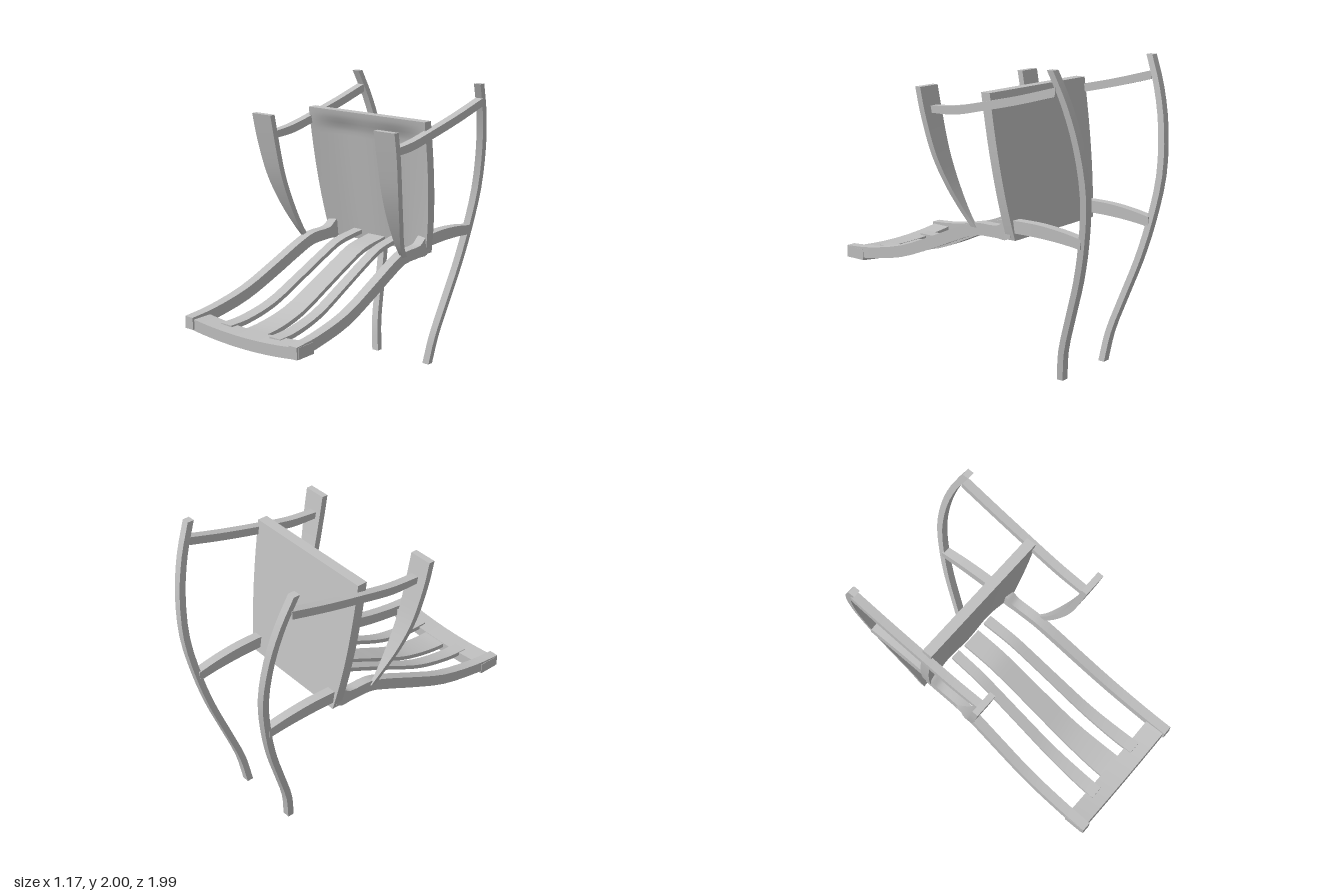
import * as THREE from 'three';
import { toCreasedNormals } from 'three/addons/utils/BufferGeometryUtils.js';

const grey = new THREE.MeshStandardMaterial({ color: 0xc0c0c0 });
grey.name = 'plain grey';

function part(name, geometry, crease = 0.6) {
  const mesh = new THREE.Mesh(toCreasedNormals(geometry, crease), grey);
  mesh.name = name;
  return mesh;
}

// Bent bar with a rectangular section. Rows are [x, y, z, width, thickness].
// Upright bars run upwards with thickness along z; the others run backwards (-z) with thickness along y.
function bar(rows, upright, steps = 24) {
  const path = new THREE.CatmullRomCurve3(rows.map(r => new THREE.Vector3(r[0], r[1], r[2])));
  const size = new THREE.CatmullRomCurve3(rows.map((r, i) => new THREE.Vector3(r[3], r[4], i)));
  const pos = [], index = [];
  for (let i = 0; i <= steps; i++) {
    const p = path.getPoint(i / steps), s = size.getPoint(i / steps);
    for (const [a, b] of [[-1, -1], [1, -1], [1, 1], [-1, 1]]) {
      const n = b * s.y / 2;
      pos.push(p.x + a * s.x / 2, p.y + (upright ? 0 : n), p.z + (upright ? n : 0));
    }
  }
  for (let i = 0; i < steps; i++) {
    for (let j = 0; j < 4; j++) {
      const a = i * 4 + j, b = i * 4 + (j + 1) % 4;
      index.push(a, a + 4, b, b, a + 4, b + 4);
    }
  }
  const e = steps * 4;
  index.push(0, 1, 2, 0, 2, 3, e + 2, e + 1, e, e + 3, e + 2, e);
  const g = new THREE.BufferGeometry();
  g.setAttribute('position', new THREE.Float32BufferAttribute(pos, 3));
  g.setIndex(index);
  return g;
}

// Panel with bowed sides and a dished front
function panelGeometry() {
  const g = new THREE.BoxGeometry(2, 1, 1, 32, 32, 1);
  const p = g.attributes.position;
  for (let i = 0; i < p.count; i++) {
    const u = p.getX(i), v = p.getY(i) + 0.5, front = p.getZ(i) > 0;
    const half = 0.485 - 0.075 * Math.pow(1 - v, 2.5);
    const lip = THREE.MathUtils.smoothstep(1 - v, 0.02, 0.16);
    const dish = 0.034 * lip * (1 - Math.pow(Math.abs(u), 5)) * (0.7 + 0.3 * Math.sin(Math.PI * Math.abs(u)) ** 2);
    const back = -0.44 + 0.14 * v;
    p.setXYZ(i, u * half, 0.9 + 0.915 * v, front ? back + 0.068 - dish : back);
  }
  return g;
}

// Cross bar that sags towards its middle
function crossBarGeometry() {
  const s = new THREE.Shape();
  s.moveTo(-0.47, 0.56);
  s.quadraticCurveTo(0, 0.49, 0.47, 0.56);
  s.lineTo(0.47, 0.635);
  s.quadraticCurveTo(0, 0.565, -0.47, 0.635);
  const g = new THREE.ExtrudeGeometry(s, { depth: 0.14, bevelEnabled: false, curveSegments: 20 });
  return g.translate(0, 0, 0.845);
}

export function createModel() {
  const model = new THREE.Group();
  model.name = 'chair';
  model.add(part('dishedPanel', panelGeometry()), part('crossBar', crossBarGeometry()));

  for (const s of [1, -1]) {
    const side = s > 0 ? 'left' : 'right';
    const add = (name, rows, upright) =>
      model.add(part(side + name, bar(rows.map(([x, ...rest]) => [s * x, ...rest]), upright)));

    // Long curved leg, leaning outwards as it rises
    const legPath = [[0, -0.675], [0.2, -0.705], [0.45, -0.785], [0.7, -0.868], [0.95, -0.928],
      [1.25, -0.968], [1.55, -0.945], [1.8, -0.882], [2, -0.8]];
    add('Leg', legPath.map(([y, z]) => [0.225 + 0.145 * y, y, z, 0.052, 0.045]), true);

    // Wide wing post tapering downwards, with a straight inner edge
    const postPath = [[-0.115, 0.94, 0.41, 0.43], [-0.06, 1.02, 0.412, 0.45], [0.03, 1.2, 0.415, 0.505],
      [0.105, 1.4, 0.42, 0.55], [0.165, 1.65, 0.424, 0.58], [0.2, 1.82, 0.426, 0.587]];
    add('WingPost', postPath.map(([z, y, a, b]) => [(a + b) / 2, y, z, b - a, 0.042]), true);

    // Arm between wing post and leg
    add('Arm', [[0.492, 1.675, 0.16, 0.055, 0.045], [0.495, 1.69, -0.05, 0.055, 0.055],
      [0.498, 1.742, -0.3, 0.055, 0.055], [0.502, 1.805, -0.57, 0.055, 0.055],
      [0.505, 1.875, -0.83, 0.055, 0.055]], false);

    // S-curved side rail, with a raised end at the panel
    add('SideRail', [[0.435, 0.6, 0.998, 0.066, 0.08], [0.432, 0.62, 0.8, 0.066, 0.075],
      [0.424, 0.68, 0.5, 0.066, 0.08], [0.409, 0.79, 0.22, 0.066, 0.085], [0.397, 0.885, 0, 0.066, 0.085],
      [0.39, 0.93, -0.13, 0.066, 0.08], [0.386, 0.937, -0.3, 0.066, 0.08],
      [0.384, 0.955, -0.36, 0.066, 0.125], [0.384, 0.97, -0.41, 0.066, 0.11]], false);

    // Rear rail from the panel to the leg
    add('RearRail', [[0.376, 0.985, -0.38, 0.064, 0.08], [0.372, 0.987, -0.6, 0.064, 0.08],
      [0.368, 0.975, -0.78, 0.062, 0.073], [0.364, 0.955, -0.925, 0.06, 0.065]], false);
  }

  // Slats following the curve of the rails
  const slatPath = [[0.6, 0.9, 1], [0.605, 0.75, 0.97], [0.655, 0.5, 0.86], [0.775, 0.22, 0.8],
    [0.875, 0, 0.78], [0.935, -0.15, 0.78], [0.968, -0.37, 0.78]];
  for (const [name, x, w, drop] of [['centreSlat', 0, 0.18, 0.018], ['leftSlat', 0.205, 0.09, 0], ['rightSlat', -0.205, 0.09, 0]]) {
    const rows = slatPath.map(([y, z, k]) => [x * (0.8 + 0.2 * (z + 0.3) / 1.2), y - drop, z, w * k, 0.03]);
    model.add(part(name, bar(rows, false)));
  }
  return model;
}
